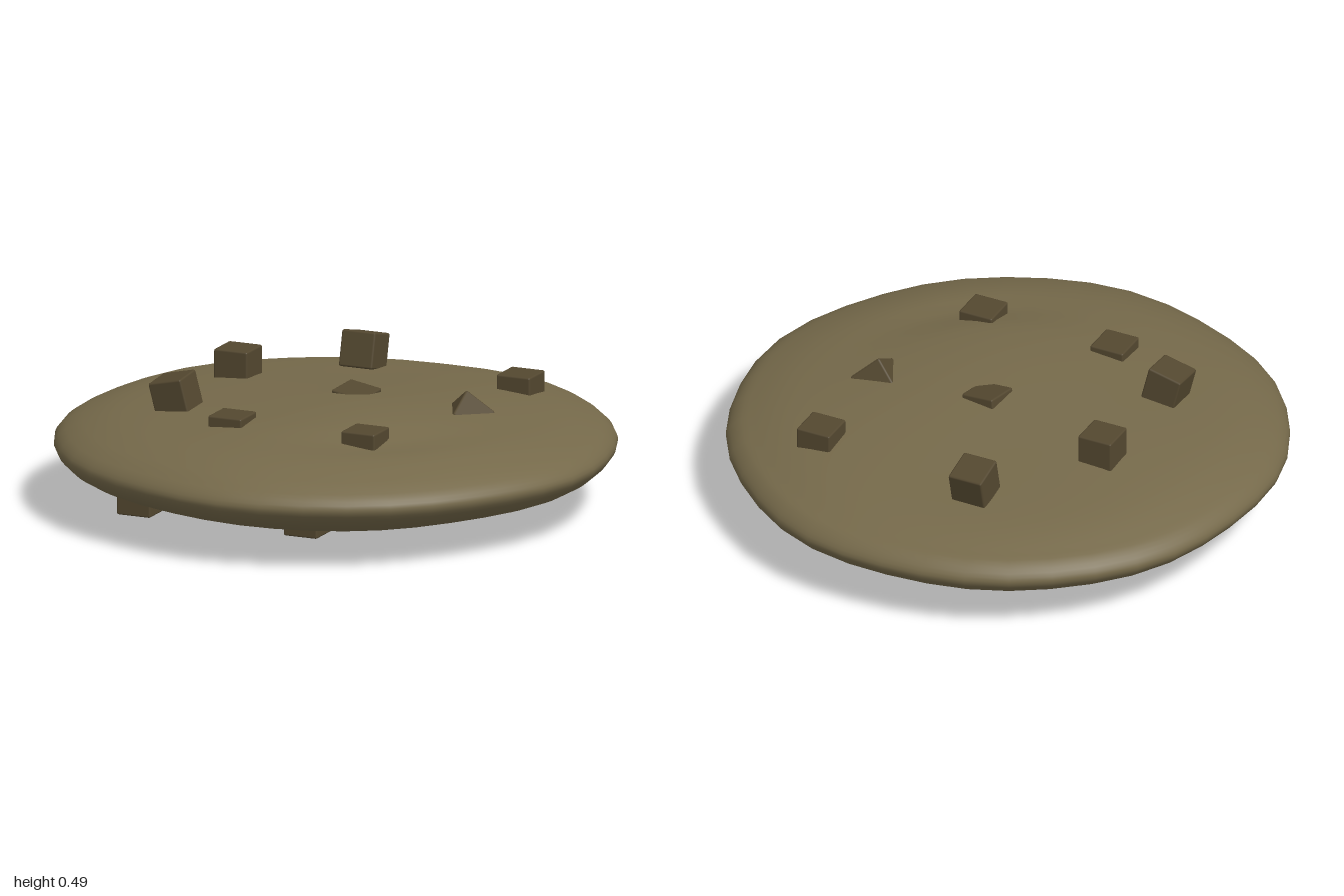
import * as THREE from 'three';
import { mergeVertices } from 'three/addons/utils/BufferGeometryUtils.js';
import { RoundedBoxGeometry } from 'three/addons/geometries/RoundedBoxGeometry.js';

const CHIP = 0.13;

// Dough: a lathed disc whose surface is gently warped
function createDough(material) {
  const profile = [
    [0, 0.03], [0.3, 0.04], [0.6, 0.075], [0.8, 0.115], [0.93, 0.165], [0.99, 0.225],
    [0.965, 0.275], [0.89, 0.312], [0.75, 0.35], [0.5, 0.382], [0.25, 0.4], [0, 0.405],
  ].map(([r, y]) => new THREE.Vector2(r, y));
  const points = new THREE.SplineCurve(profile).getPoints(44);
  points[0].x = points[points.length - 1].x = 0;

  let geometry = new THREE.LatheGeometry(points, 40);
  const p = geometry.attributes.position;
  for (let i = 0; i < p.count; i++) {
    const x = p.getX(i), y = p.getY(i), z = p.getZ(i);
    const r = Math.hypot(x, z), a = Math.atan2(z, x);
    // Slightly uneven outline
    const s = 1 + r * (0.006 * Math.sin(5 * a + 1) + 0.004 * Math.sin(9 * a));
    // Higher towards the front, with soft lumps
    const fade = Math.max(0, 1 - r * r);
    let dy = fade * (0.008 * Math.sin(5 * x + 2 * z) + 0.006 * Math.sin(6 * z - 3 * x + 1));
    if (y > 0.3) {
      dy += 0.03 * z * fade;
      // Shallow curved dent on the front left
      dy -= 0.02 * Math.exp(-(((r - 0.6) / 0.08) ** 2) - ((a - 0.9) / 0.5) ** 2);
    }
    p.setXYZ(i, x * s, y + dy, z * s);
  }
  geometry.deleteAttribute('uv');
  geometry.deleteAttribute('normal');
  geometry = mergeVertices(geometry, 1e-4);
  geometry.computeVertexNormals();
  const dough = new THREE.Mesh(geometry, material);
  dough.name = 'dough';
  return dough;
}

export function createModel() {
  const group = new THREE.Group();
  group.name = 'cookie';
  const doughMaterial = new THREE.MeshStandardMaterial({ color: 0x75694a });
  const chipMaterial = new THREE.MeshStandardMaterial({ color: 0x544830 });
  group.add(createDough(doughMaterial));

  const chipGeometry = new RoundedBoxGeometry(CHIP, CHIP, CHIP, 1, 0.007);
  const addChip = (name, x, y, z, rx = 0, ry = 0, rz = 0) => {
    const chip = new THREE.Mesh(chipGeometry, chipMaterial);
    chip.name = name;
    chip.position.set(x, y, z);
    chip.rotation.set(rx, ry, rz);
    group.add(chip);
  };

  // Upper chips: centre position, then tilt
  [
    [-0.165, 0.41, -0.585, -0.24, 0, 0],
    [0.48, 0.353, -0.5],
    [-0.47, 0.415, -0.19],
    [0.05, 0.355, -0.05, 0.1, -0.13, -0.12],
    [0.47, 0.343, -0.06, 0.5, 0, 0.78],
    [-0.49, 0.418, 0.285, 0.08, 0, 0.22],
    [-0.195, 0.353, 0.45],
    [0.32, 0.353, 0.45],
  ].forEach((c) => addChip('topChip', ...c));

  // Lower chips: x, z and height of the underside
  [
    [0.01, 0, 0.005], [0.68, 0.03, 0.08], [0.44, -0.41, 0.06], [-0.04, -0.55, 0.04],
    [-0.35, -0.36, 0.025], [0.13, 0.52, 0.035], [-0.63, 0.1, 0.04], [-0.46, 0.64, 0.075],
  ].forEach(([x, z, y]) => addChip('bottomChip', x, y + CHIP / 2, z));

  return group;
}
